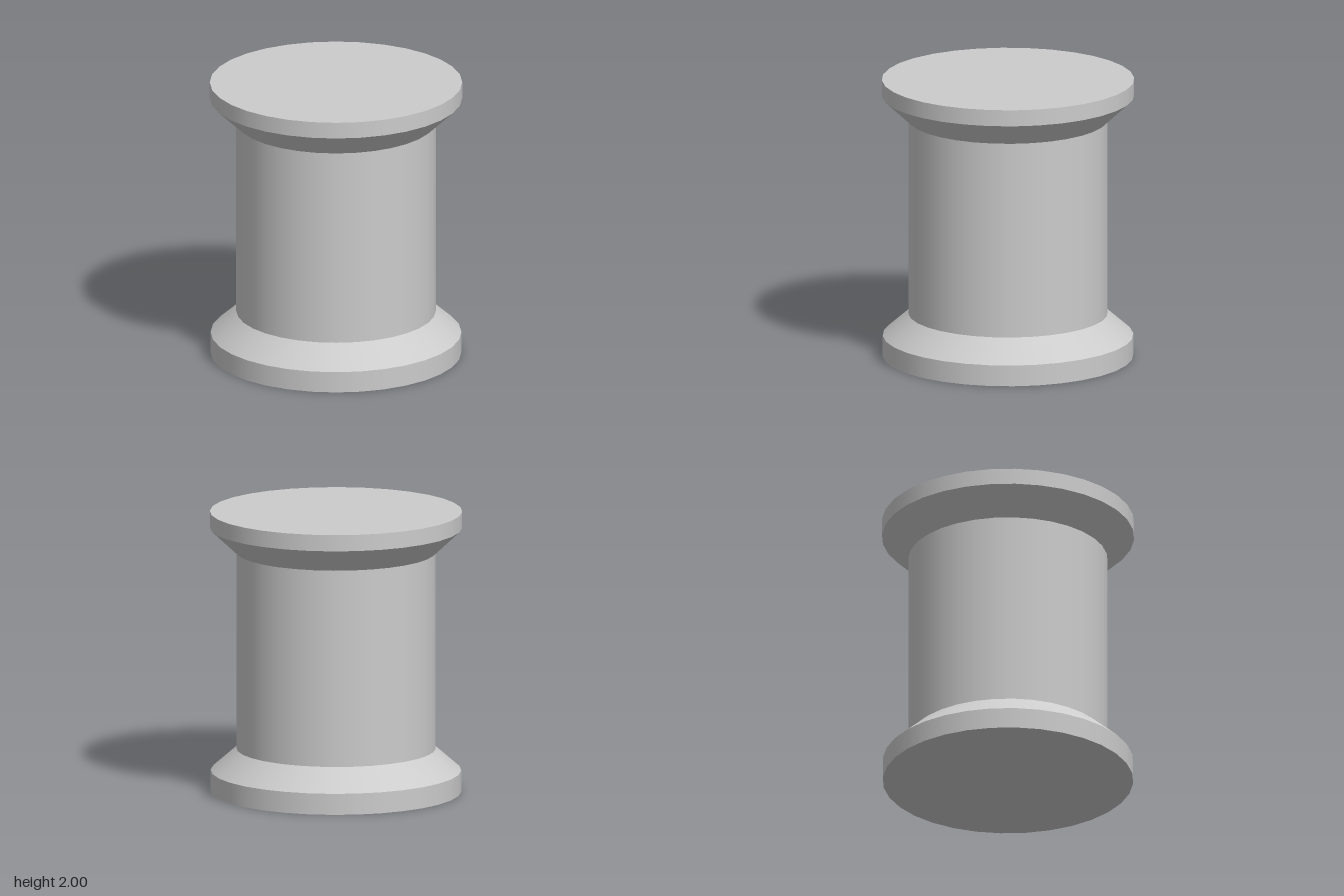
import * as THREE from 'three';

const SIDES = 32;

export function createModel() {
  const group = new THREE.Group();
  group.name = 'spool';
  const material = new THREE.MeshStandardMaterial({ color: 0xcccccc });

  const add = (name, geometry) => {
    const mesh = new THREE.Mesh(geometry, material);
    mesh.name = name;
    group.add(mesh);
  };

  // Stacked bands: name, bottom radius, bottom height, top radius, top height
  const bands = [
    ['bottomRim', 0.88, 0, 0.88, 0.15],
    ['bottomFlare', 0.88, 0.15, 0.7, 0.307],
    ['barrel', 0.7, 0.307, 0.7, 1.71],
    ['topFlare', 0.7, 1.71, 0.886, 1.884],
    ['topRim', 0.886, 1.884, 0.886, 2],
  ];
  for (const [name, r0, y0, r1, y1] of bands) {
    const band = new THREE.CylinderGeometry(r1, r0, y1 - y0, SIDES, 1, true);
    add(name, band.translate(0, (y0 + y1) / 2, 0));
  }

  // Flat end discs
  add('topDisc', new THREE.CircleGeometry(0.886, SIDES).rotateX(-Math.PI / 2).translate(0, 2, 0));
  add('bottomDisc', new THREE.CircleGeometry(0.88, SIDES).rotateX(Math.PI / 2));

  return group;
}
